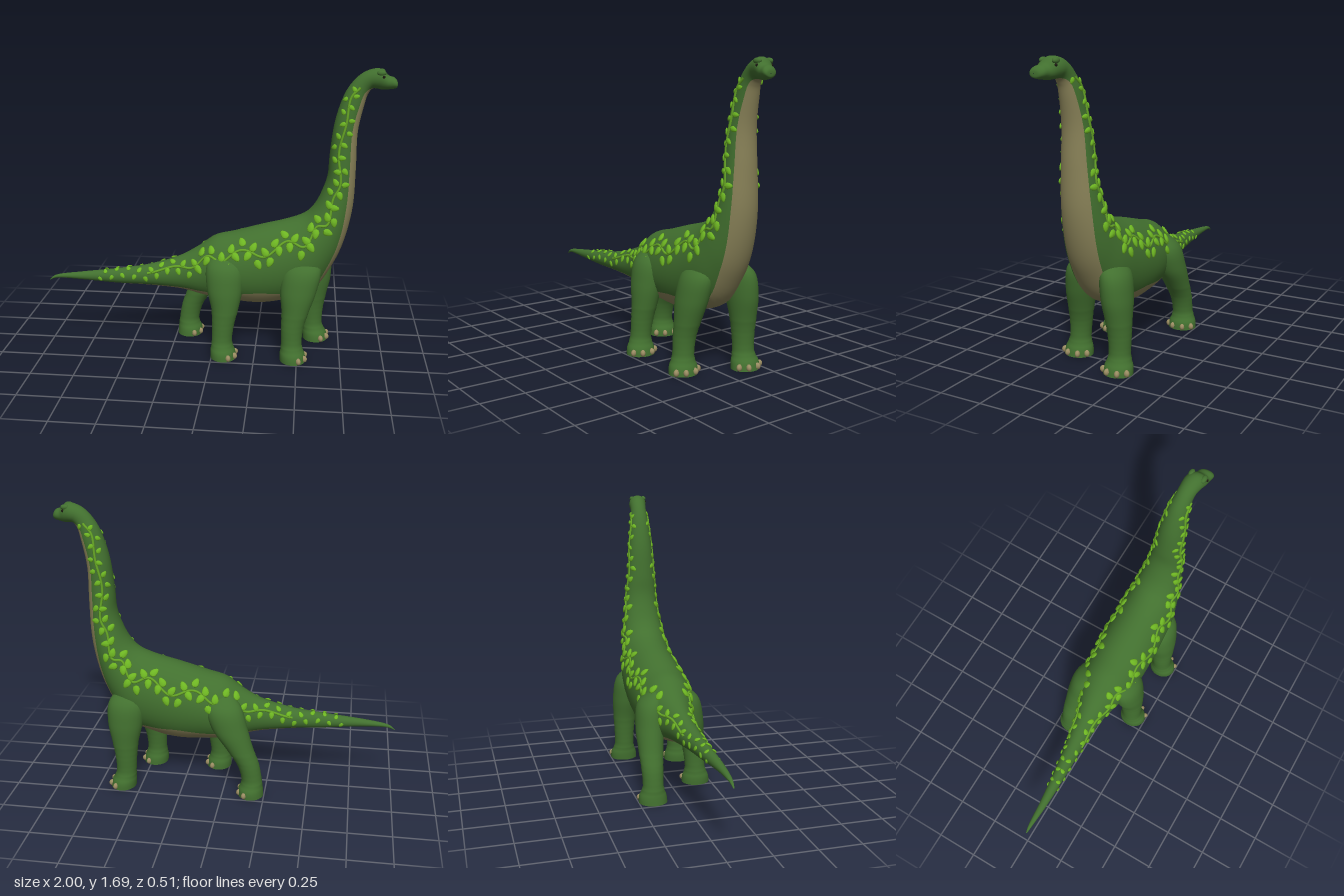
import * as THREE from 'three';
import { mergeGeometries } from 'three/addons/utils/BufferGeometryUtils.js';

const rad = THREE.MathUtils.degToRad;
const paint = (name, color, side = THREE.FrontSide) => {
  const m = new THREE.MeshStandardMaterial({ color, side });
  m.name = name;
  return m;
};

// Stations: back x, back y, belly x, belly y, centre z, half width, underside half angle
const tail = [
  [-1, .392, -1, .388, .03, .003, 0], [-.95, .425, -.94, .405, .03, .012, 0],
  [-.8, .448, -.79, .40, .03, .024, 10], [-.6, .472, -.59, .385, .02, .038, 25],
  [-.4, .502, -.39, .375, .005, .055, 35], [-.22, .555, -.2, .355, -.01, .08, 40],
];
const torso = [
  [-.1, .62, -.08, .325, -.018, .115, 45], [0, .69, .02, .305, -.02, .15, 48],
  [.12, .722, .12, .297, -.02, .17, 50], [.28, .768, .27, .288, -.02, .175, 55],
  [.42, .805, .42, .315, -.02, .172, 45], [.52, .845, .58, .38, -.018, .165, 35],
];
const neck = [
  [.575, .90, .69, .54, -.015, .145, 42], [.615, .98, .755, .70, -.015, .125, 50],
  [.645, 1.08, .795, .9, -.013, .105, 60], [.652, 1.2, .802, 1.12, -.01, .09, 60],
  [.672, 1.38, .803, 1.33, -.008, .075, 60], [.715, 1.53, .835, 1.5, -.005, .06, 55],
  [.765, 1.615, .852, 1.553, 0, .05, 50],
];
const head = [
  [.82, 1.665, .872, 1.577, .005, .05, 25], [.88, 1.688, .895, 1.578, .012, .055, 0],
  [.92, 1.684, .922, 1.575, .022, .054, 0], [.95, 1.655, .952, 1.578, .033, .045, 0],
  [.98, 1.645, .982, 1.583, .042, .042, 0], [.997, 1.628, .997, 1.59, .048, .028, 0],
  [1, 1.61, 1, 1.608, .05, .003, 0],
];
const trunk = [...tail, ...torso, ...neck, ...head];

// Smooth interpolation of a table of stations at a fractional row
function sample(rows, s) {
  const n = rows.length - 1, i = Math.min(Math.floor(s), n - 1), t = s - i;
  const row = (k) => rows[THREE.MathUtils.clamp(k, 0, n)];
  return rows[i].map((p1, c) => {
    const p0 = row(i - 1)[c], p2 = row(i + 1)[c], p3 = row(i + 2)[c];
    const m1 = (p2 - p0) / 2, m2 = (p3 - p1) / 2;
    return p1 + t * m1 + t * t * (3 * (p2 - p1) - 2 * m1 - m2) + t * t * t * (2 * (p1 - p2) + m1 + m2);
  });
}

// Point on the trunk: angle 0 is the back, positive towards the left flank
function trunkPoint(s, angle) {
  const [bx, by, vx, vy, z, w] = sample(trunk, s);
  const c = Math.cos(angle);
  return new THREE.Vector3(
    (bx + vx) / 2 + c * (bx - vx) / 2, (by + vy) / 2 + c * (by - vy) / 2, z + Math.sin(angle) * w);
}

// Closed rings joined into a skin; inB decides which quads go to the second material
function skin(rings, inB = () => false) {
  const n = rings[0].length, a = [], b = [];
  for (let i = 0; i < rings.length - 1; i++) {
    for (let j = 0; j < n; j++) {
      const k = (j + 1) % n, p = i * n + j, q = i * n + k;
      (inB(i, j) ? b : a).push(p, q, p + n, q, q + n, p + n);
    }
  }
  const g = new THREE.BufferGeometry().setFromPoints(rings.flat());
  g.setIndex([...a, ...b]);
  g.addGroup(0, a.length, 0);
  g.addGroup(a.length, b.length, 1);
  g.computeVertexNormals();
  return g;
}

function buildTrunk() {
  const STEPS = 6, HIDE = 26, UNDER = 12, rings = [], pale = [];
  for (let i = 0; i <= (trunk.length - 1) * STEPS; i++) {
    const s = i / STEPS, raw = sample(trunk, s)[6], a = rad(Math.max(raw, 10));
    pale.push(raw > 10);
    const ring = [];
    for (let j = 0; j < HIDE; j++) ring.push(trunkPoint(s, (Math.PI - a) * (2 * j / HIDE - 1)));
    for (let j = 0; j < UNDER; j++) ring.push(trunkPoint(s, Math.PI - a + 2 * a * j / UNDER));
    rings.push(ring);
  }
  return skin(rings, (i, j) => j >= HIDE && pale[i]);
}

// Leg profile from hip to sole: y, z, radius along x, radius along z
const legProfile = [
  [.64, .06, .03, .02], [.55, .115, .105, .075], [.42, .137, .105, .083], [.3, .15, .08, .073],
  [.2, .158, .065, .064], [.1, .162, .06, .061], [.04, .165, .073, .08], [0, .165, .076, .084],
];

function buildLeg(name, side, xs, mats) {
  const leg = new THREE.Group();
  leg.name = name;
  const rows = legProfile.map(([y, z, rx, rz], i) => [xs[i], y, side * z - .03 * y, rx, rz]);
  const rings = [];
  for (let i = 0; i <= 42; i++) {
    const [x, y, z, rx, rz] = sample(rows, i / 6);
    const fold = y > .05 && y < .27 ? 1 + .018 * Math.sin(y * 170) : 1;
    rings.push(Array.from({ length: 24 }, (_, j) => {
      const t = j / 24 * Math.PI * 2;
      return new THREE.Vector3(x + Math.cos(t) * rx * fold, y, z + Math.sin(t) * rz * fold);
    }));
  }
  const limb = new THREE.Mesh(skin(rings), mats.hide);
  limb.name = 'limb';
  leg.add(limb);

  const [x, , z, rx, rz] = rows[rows.length - 1];
  const sole = new THREE.Mesh(new THREE.CircleGeometry(1, 24).rotateX(Math.PI / 2), mats.hide);
  sole.name = 'sole';
  sole.scale.set(rx, 1, rz);
  sole.position.set(x, 0, z);
  leg.add(sole);

  // Four blunt claws around the toes
  for (const deg of [-62, -22, 22, 62]) {
    const claw = new THREE.Mesh(new THREE.SphereGeometry(1, 12, 8), mats.claw);
    claw.name = 'claw';
    claw.scale.set(.02, .02, .015);
    claw.position.set(x + Math.cos(rad(deg)) * rx * .92, .021, z + Math.sin(rad(deg)) * rz * .95);
    claw.rotation.y = -rad(deg);
    leg.add(claw);
  }
  return leg;
}

// Pointed oval leaf lying in the xz plane, tip towards +x
function leafShape() {
  const g = new THREE.SphereGeometry(1, 10, 6);
  const p = g.attributes.position;
  for (let i = 0; i < p.count; i++) {
    const x = p.getX(i);
    p.setXYZ(i, x, p.getY(i) * .3, p.getZ(i) * (.68 - .22 * x));
  }
  g.computeVertexNormals();
  return g;
}

function buildVine(side, mats) {
  const vine = new THREE.Group();
  vine.name = side > 0 ? 'leftVine' : 'rightVine';
  const { smoothstep, lerp } = THREE.MathUtils;
  const angleAt = (s) => side * rad(lerp(60, 76, smoothstep(s, 10.5, 14)) + 8 * Math.sin(s * 3.6));

  const path = [];
  for (let s = 4; s <= 18; s += .1) path.push(trunkPoint(s, angleAt(s)));
  const stem = new THREE.Mesh(
    new THREE.TubeGeometry(new THREE.CatmullRomCurve3(path), 260, .0075, 6), mats.vine);
  stem.name = 'stem';
  vine.add(stem);

  // Leaves at even distances, alternately above and below the stem
  const leaf = leafShape(), leaves = [];
  let last = trunkPoint(2.4, angleAt(2.4)), run = 0, count = 0;
  for (let s = 2.4; s < 18; s += .01) {
    const angle = angleAt(s), here = trunkPoint(s, angle);
    run += here.distanceTo(last);
    last = here;
    if (run < .034) continue;
    run = 0;
    const up = count++ % 2 ? 1 : -1;
    const size = s < 6 ? lerp(.016, .026, (s - 2.4) / 3.6) : lerp(.031, .018, smoothstep(s, 11, 18));
    const round = trunkPoint(s, angle + .01).distanceTo(here) / .01;
    const reach = Math.min(size * (1.25 + .35 * Math.sin(count * 2.3)) / round, .75);
    const a = angle - side * up * reach;
    const centre = trunkPoint(s, a);
    const along = trunkPoint(s + .02, a).sub(centre).normalize();
    const around = trunkPoint(s, a + .02).sub(centre).normalize();
    const normal = around.clone().cross(along).normalize();
    const dir = around.multiplyScalar(-side * up).addScaledVector(along, .8 * Math.sin(count * 1.7));
    dir.addScaledVector(normal, -dir.dot(normal)).normalize();
    const basis = new THREE.Matrix4().makeBasis(dir, normal, dir.clone().cross(normal));
    basis.scale(new THREE.Vector3(size, size, size));
    basis.setPosition(centre.addScaledVector(normal, .004));
    leaves.push(leaf.clone().applyMatrix4(basis));
  }
  const foliage = new THREE.Mesh(mergeGeometries(leaves), mats.leaf);
  foliage.name = 'leaves';
  vine.add(foliage);
  return vine;
}

export function createModel() {
  const mats = {
    hide: paint('hide green', 0x42702f),
    under: paint('underside tan', 0x898258),
    claw: paint('claw tan', 0x9a8c62),
    vine: paint('vine green', 0x66a626),
    leaf: paint('leaf green', 0x6db522),
    eye: paint('eye dark', 0x1c1a12),
  };
  const model = new THREE.Group();
  model.name = 'longNeckedDinosaur';

  const body = new THREE.Mesh(buildTrunk(), [mats.hide, mats.under]);
  body.name = 'body';
  model.add(body);

  model.add(
    buildLeg('leftHindLeg', 1, [.06, .07, .072, .075, .066, .06, .066, .07], mats),
    buildLeg('leftFrontLeg', 1, [.53, .52, .5, .485, .47, .468, .474, .478], mats),
    buildLeg('rightFrontLeg', -1, [.56, .575, .585, .588, .586, .588, .602, .608], mats),
    buildLeg('rightHindLeg', -1, [.01, 0, -.04, -.1, -.152, -.175, -.17, -.17], mats));

  for (const side of [1, -1]) {
    model.add(buildVine(side, mats));
    // Brow ridge and eye
    const brow = new THREE.Mesh(new THREE.SphereGeometry(1, 14, 10), mats.hide);
    brow.name = 'brow';
    brow.scale.set(.026, .016, .016);
    brow.position.set(.912, 1.668, .02 + side * .037);
    const eye = new THREE.Mesh(new THREE.SphereGeometry(.008, 10, 8), mats.eye);
    eye.name = 'eye';
    eye.position.set(.924, 1.648, .023 + side * .048);
    model.add(brow, eye);
  }
  return model;
}
